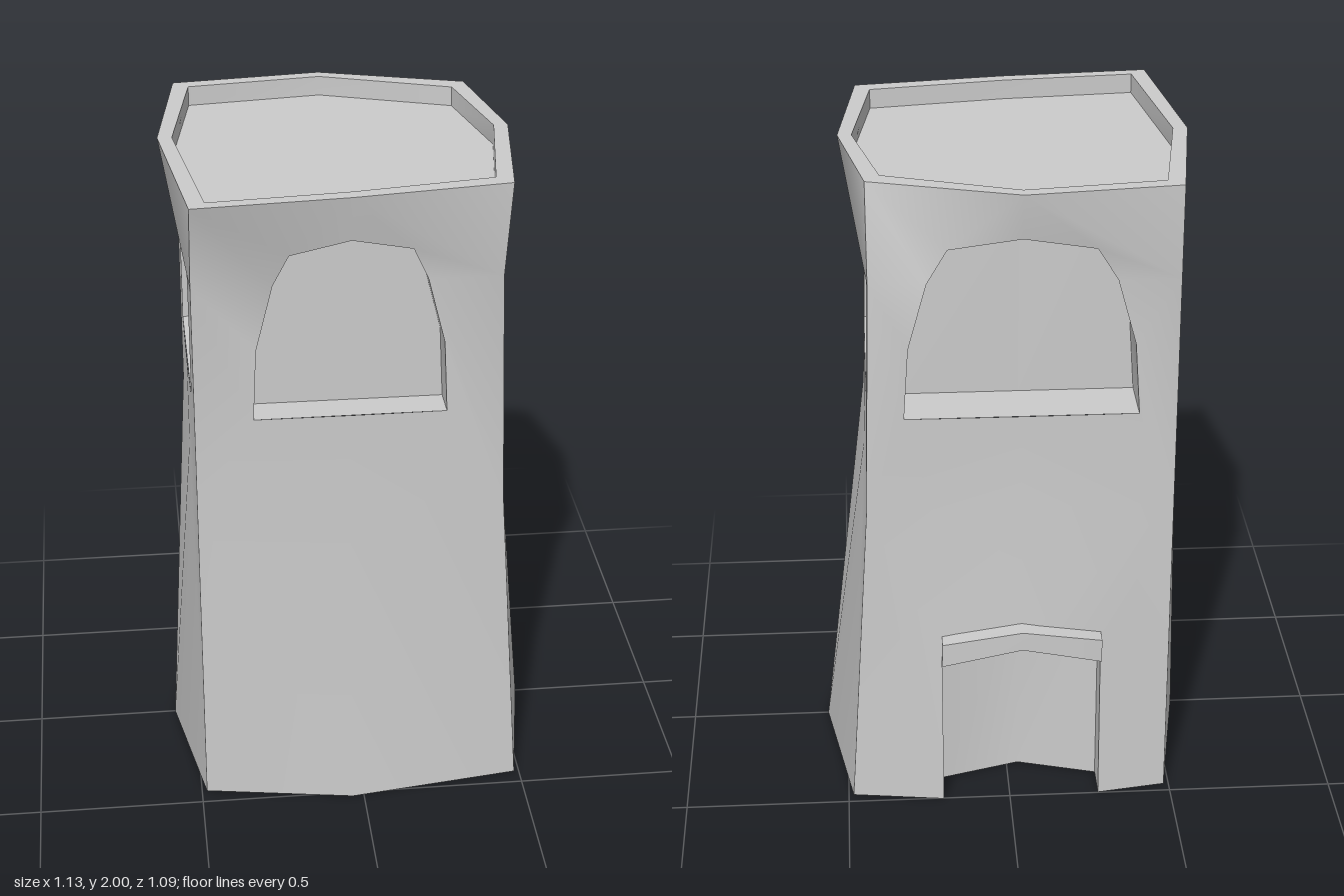
import * as THREE from 'three';
import { mergeGeometries, toCreasedNormals } from 'three/addons/utils/BufferGeometryUtils.js';

const V2 = (p) => new THREE.Vector2(p[0], p[1]);
const lerp = THREE.MathUtils.lerp;

// Plan outlines [x, z] at each height: corner, mid-side, corner, ... starting front -x corner
const LEVELS = [
  { y: 0, ring: [[-0.485, 0.445], [-0.035, 0.52], [0.485, 0.445], [0.565, 0], [0.485, -0.465], [-0.035, -0.535], [-0.485, -0.465], [-0.565, 0]] },
  { y: 1, ring: [[-0.485, 0.445], [-0.035, 0.447], [0.42, 0.445], [0.422, 0], [0.42, -0.46], [-0.035, -0.462], [-0.485, -0.46], [-0.487, 0]] },
  { y: 1.72, ring: [[-0.485, 0.445], [-0.035, 0.447], [0.4, 0.445], [0.4, 0], [0.4, -0.458], [-0.035, -0.46], [-0.485, -0.46], [-0.487, 0]] },
  { y: 2, ring: [[-0.485, 0.54], [-0.035, 0.505], [0.42, 0.445], [0.475, 0], [0.4, -0.38], [-0.035, -0.51], [-0.485, -0.46], [-0.55, 0]] },
];
const RIM_INNER = [[-0.44, 0.498], [-0.035, 0.463], [0.375, 0.4], [0.433, 0], [0.358, -0.333], [-0.035, -0.47], [-0.44, -0.42], [-0.507, 0]];

// Half outlines of the openings [half width, height], bottom to apex
const FRONT_ARCH = [[0.28, 1.3], [0.27, 1.52], [0.22, 1.72], [0.175, 1.82], [0, 1.86]];
const SIDE_ARCH = [[0.27, 1.3], [0.265, 1.52], [0.235, 1.72], [0.115, 1.86], [0, 1.86]];
const BACK_ARCH = [[0.34, 1.3], [0.325, 1.52], [0.27, 1.72], [0.21, 1.82], [0, 1.86]];
const DOOR = [[0.24, 0], [0.24, 0.5], [0, 0.56]];

// Sides in turn: front, +x, back, -x; inner = distance of the window's back pane
const SIDES = [
  { name: 'front', arch: FRONT_ARCH, inner: 0.345 },
  { name: 'right', arch: SIDE_ARCH, inner: 0.29 },
  { name: 'back', arch: BACK_ARCH, inner: 0.29, door: true },
  { name: 'left', arch: SIDE_ARCH, inner: 0.43 },
];

// Flat polygon bent so that z = depth(x, y)
function panel(points, depth) {
  const g = new THREE.ShapeGeometry(new THREE.Shape(points.map(V2)));
  const p = g.attributes.position;
  for (let i = 0; i < p.count; i++) p.setZ(i, depth(p.getX(i), p.getY(i)));
  return g;
}

// Walls of a recess between an outer loop and an inner loop of 3D points
function recess(outer, inner, skip = -1) {
  const v = [];
  outer.forEach((a, i) => {
    if (i === skip) return;
    const j = (i + 1) % outer.length;
    v.push(...a, ...outer[j], ...inner[j], ...a, ...inner[j], ...inner[i]);
  });
  const g = new THREE.BufferGeometry();
  g.setAttribute('position', new THREE.Float32BufferAttribute(v, 3));
  return g;
}

function combine(list) {
  const plain = list.map((g) => {
    const n = g.index ? g.toNonIndexed() : g;
    n.deleteAttribute('uv');
    n.deleteAttribute('normal');
    return n;
  });
  return toCreasedNormals(mergeGeometries(plain), 0.6);
}

// One side in local axes: x along the wall, z outward
function sideParts(k, side) {
  const a = (k * Math.PI) / 2, c = Math.round(Math.cos(a)), s = Math.round(Math.sin(a));
  const cols = LEVELS.map(({ ring }) => [0, 1, 2].map((i) => {
    const [x, z] = ring[(2 * k + i) % 8];
    return [c * x - s * z, s * x + c * z];
  }));
  const mid = cols[0][1][0];

  const wallDepth = (x, y) => {
    const b = y < 1 ? 0 : y < 1.72 ? 1 : 2;
    const t = (y - LEVELS[b].y) / (LEVELS[b + 1].y - LEVELS[b].y);
    const [L, M, R] = [0, 1, 2].map((i) => [0, 1].map((n) => lerp(cols[b][i][n], cols[b + 1][i][n], t)));
    const E = x < M[0] ? L : R;
    return lerp(M[1], E[1], (x - M[0]) / (E[0] - M[0]));
  };

  const walls = [], win = [], door = [];
  for (const h of [-1, 1]) {
    const at = ([w, y]) => [mid + h * w, y];
    const A = side.arch;
    const inner = [
      side.door ? [...DOOR, [0, 1]] : [[0, 0], [0, 1]],
      [[0, 1], [0, 1.3], A[0], A[1], A[2]],
      [A[2], A[3], A[4], [0, 2]],
    ];
    inner.forEach((pts, b) => {
      const e = h < 0 ? 0 : 2;
      const outer = [[cols[b + 1][e][0], LEVELS[b + 1].y], [cols[b][e][0], LEVELS[b].y]];
      walls.push(panel([...pts.map(at), ...outer], wallDepth));
    });
  }

  // Recess with back pane for a half outline
  const opening = (half, innerDepth, list, skip) => {
    const loop = [
      ...half.map(([w, y]) => [mid + w, y]),
      ...half.slice(0, -1).reverse().map(([w, y]) => [mid - w, y]),
    ];
    list.push(recess(
      loop.map(([x, y]) => [x, y, wallDepth(x, y)]),
      loop.map(([x, y]) => [x, y, innerDepth(x)]),
      skip ? loop.length - 1 : -1,
    ));
    for (const h of [-1, 1]) {
      const pts = [[0, half[0][1]], ...half].map(([w, y]) => [mid + h * w, y]);
      list.push(panel(pts, innerDepth));
    }
  };
  opening(side.arch, () => side.inner, win);
  if (side.door) opening(DOOR, (x) => 0.32 + (0.07 * Math.abs(x - mid)) / 0.24, door, true);
  return { wall: walls, window: win, doorway: door };
}

export function createModel() {
  const group = new THREE.Group();
  const material = new THREE.MeshStandardMaterial({ color: 0xcccccc });
  const add = (name, geometry) => {
    const m = new THREE.Mesh(geometry, material);
    m.name = name;
    group.add(m);
    return m;
  };

  // Four walls with arched window recesses, and the doorway at the back
  SIDES.forEach((side, k) => {
    const parts = sideParts(k, side);
    for (const [part, list] of Object.entries(parts)) {
      if (!list.length) continue;
      add(`${side.name} ${part}`, combine(list)).rotation.y = (k * Math.PI) / 2;
    }
  });

  // Rim, its inner wall and the sunken roof
  const up = ([x, z]) => new THREE.Vector2(x, -z);
  const rimShape = new THREE.Shape(LEVELS[3].ring.map(up));
  rimShape.holes.push(new THREE.Path(RIM_INNER.map(up)));
  const rim = new THREE.ShapeGeometry(rimShape).rotateX(-Math.PI / 2).translate(0, 2, 0);
  const at = (y) => RIM_INNER.map(([x, z]) => [x, y, z]);
  add('rim', combine([rim, recess(at(2), at(1.94))]));
  add('roof', new THREE.ShapeGeometry(new THREE.Shape(RIM_INNER.map(up))).rotateX(-Math.PI / 2).translate(0, 1.94, 0));

  // Underside, notched by the doorway
  const base = [...LEVELS[0].ring];
  base.splice(5, 1, [0.205, -0.503], [0.205, -0.39], [-0.035, -0.32], [-0.275, -0.39], [-0.275, -0.498]);
  add('underside', new THREE.ShapeGeometry(new THREE.Shape(base.map(V2))).rotateX(Math.PI / 2));

  // Bent lintel over the doorway
  const box = new THREE.BoxGeometry(0.48, 1, 1, 2, 1, 1);
  const p = box.attributes.position;
  for (let i = 0; i < p.count; i++) {
    const centre = Math.abs(p.getX(i)) < 0.01;
    const y = p.getY(i) > 0 ? (centre ? 0.62 : 0.575) : (centre ? 0.56 : 0.5);
    const z = p.getZ(i) > 0 ? -0.47 : (centre ? -0.545 : -0.528);
    p.setXYZ(i, p.getX(i) - 0.035, y, z);
  }
  add('lintel', combine([box]));

  return group;
}
